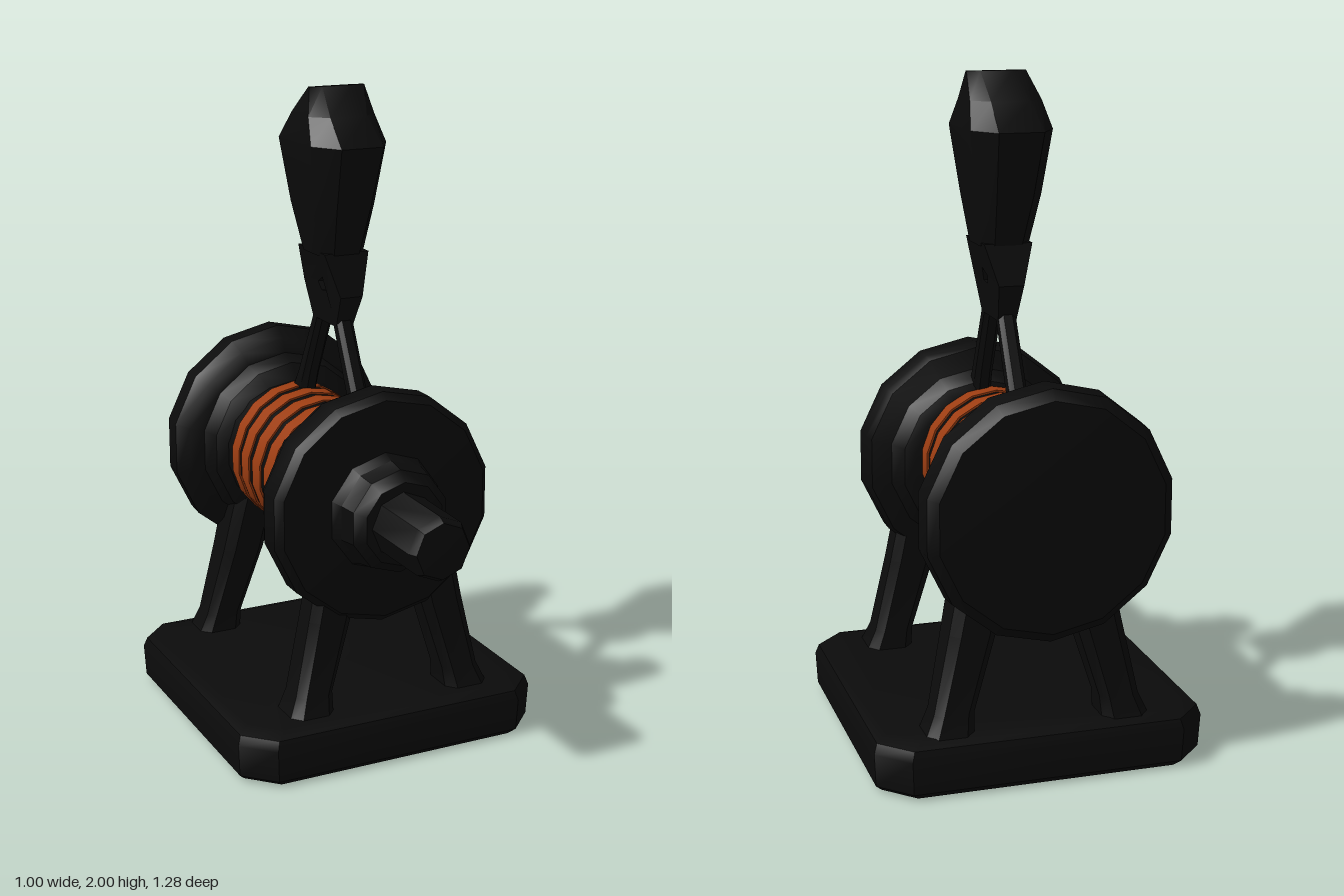
import * as THREE from 'three';
import { toCreasedNormals } from 'three/addons/utils/BufferGeometryUtils.js';

const iron = new THREE.MeshStandardMaterial({ color: 0x0b0b0b });
iron.name = 'blackIron';
const rope = new THREE.MeshStandardMaterial({ color: 0x9c3d12 });
rope.name = 'rustRope';

function add(parent, name, geometry, material = iron) {
  const mesh = new THREE.Mesh(toCreasedNormals(geometry, 0.6), material);
  mesh.name = name;
  parent.add(mesh);
  return mesh;
}

// Profile of [radius, z] pairs, rising in z, spun about the z axis
function turned(profile, sides) {
  const points = profile.map(([r, z]) => new THREE.Vector2(r, z));
  return new THREE.LatheGeometry(points, sides).rotateX(Math.PI / 2);
}

// Solid through chamfered rectangles [y, x, z, halfX, halfZ], listed upward
function loft(sections, c = 0.5) {
  const outline = [[1, -c], [1, c], [c, 1], [-c, 1], [-1, c], [-1, -c], [-c, -1], [c, -1]];
  const n = outline.length, pos = [], index = [];
  for (const [y, x, z, hx, hz] of sections)
    for (const [u, v] of outline) pos.push(x + u * hx, y, z + v * hz);
  for (let s = 0; s < sections.length - 1; s++) {
    for (let i = 0; i < n; i++) {
      const a = s * n + i, b = s * n + (i + 1) % n;
      index.push(a, a + n, b, b, a + n, b + n);
    }
  }
  const top = (sections.length - 1) * n;
  for (let i = 1; i < n - 1; i++) {
    index.push(0, i, i + 1);
    index.push(top, top + i + 1, top + i);
  }
  const g = new THREE.BufferGeometry();
  g.setAttribute('position', new THREE.Float32BufferAttribute(pos, 3));
  g.setIndex(index);
  return g;
}

export function createModel() {
  const model = new THREE.Group();
  model.name = 'winch';

  // Base slab with cut corners and softened edges
  add(model, 'base', loft([
    [0, 0, -0.135, 0.475, 0.475],
    [0.02, 0, -0.135, 0.495, 0.495],
    [0.12, 0, -0.135, 0.5, 0.5],
    [0.15, 0, -0.135, 0.49, 0.49],
    [0.163, 0, -0.135, 0.45, 0.45],
  ], 0.82));

  // Splayed legs, a pair under each flange
  for (const side of [-1, 1]) {
    const x = (v) => 0.015 + side * v;
    const name = side > 0 ? 'left' : 'right';
    add(model, name + 'FrontLeg', loft([
      [0.14, x(0.27), 0.21, 0.075, 0.085],
      [0.22, x(0.25), 0.2, 0.06, 0.065],
      [0.45, x(0.19), 0.19, 0.07, 0.06],
      [0.65, x(0.15), 0.185, 0.07, 0.06],
    ], 0.6));
    add(model, name + 'BackLeg', loft([
      [0.14, x(0.27), -0.525, 0.075, 0.075],
      [0.22, x(0.25), -0.515, 0.06, 0.06],
      [0.45, x(0.19), -0.49, 0.07, 0.075],
      [0.65, x(0.15), -0.475, 0.07, 0.085],
    ], 0.6));
  }

  // Drum core with wound bands, the rear ones slanting
  const drum = new THREE.Group();
  drum.name = 'drum';
  drum.position.set(-0.025, 0.8, 0);
  model.add(drum);
  add(drum, 'drumCore', turned([[0.219, -0.45], [0.219, 0.1]], 18));
  const bands = [
    [-0.01, 0.045, 0], [-0.1, -0.043, 0], [-0.19, -0.13, 0],
    [-0.282, -0.225, -0.03], [-0.368, -0.315, -0.08],
  ];
  for (const [back, front, slant] of bands) {
    const g = turned([[0.21, back], [0.225, back], [0.225, front], [0.21, front]], 18);
    const p = g.attributes.position;
    for (let i = 0; i < p.count; i++) p.setZ(i, p.getZ(i) + slant * p.getX(i));
    add(drum, 'ropeBand', g, rope);
  }

  // End flanges with their stepped collars
  add(model, 'frontFlange', turned([
    [0, 0.04], [0.225, 0.045], [0.26, 0.06], [0.29, 0.11], [0.35, 0.13],
    [0.362, 0.16], [0.362, 0.235], [0.34, 0.258], [0, 0.27],
  ], 14)).position.set(-0.005, 0.782, 0);
  add(model, 'backFlange', turned([
    [0, -0.642], [0.34, -0.63], [0.37, -0.605], [0.375, -0.53], [0.34, -0.49],
    [0.295, -0.475], [0.275, -0.42], [0.225, -0.385], [0, -0.38],
  ], 14)).position.set(-0.005, 0.798, 0);

  // Hub and projecting axle
  add(model, 'hub', turned([
    [0.19, 0.25], [0.17, 0.3], [0.16, 0.36], [0.13, 0.39], [0, 0.395],
  ], 10)).position.set(-0.01, 0.78, 0);
  add(model, 'axle', turned([
    [0.11, 0.35], [0.1, 0.4], [0.098, 0.61], [0.085, 0.635], [0, 0.642],
  ], 8)).position.set(-0.015, 0.78, 0);

  // Two straps rising from the drum to the eye
  add(model, 'frontStrap', loft([
    [1.0, 0, 0.09, 0.028, 0.045],
    [1.08, 0, 0.055, 0.027, 0.035],
    [1.3, 0, -0.05, 0.027, 0.027],
  ]));
  add(model, 'backStrap', loft([
    [0.98, 0, -0.35, 0.028, 0.055],
    [1.08, 0, -0.295, 0.027, 0.036],
    [1.3, 0, -0.18, 0.027, 0.027],
  ]));

  // Eye plate with a small hole, thickening upward
  const v = (z, y) => new THREE.Vector2(z, y);
  const plate = new THREE.Shape([
    v(-0.035, 1.28), v(-0.2, 1.28), v(-0.243, 1.39), v(-0.21, 1.51), v(-0.02, 1.51), v(0.015, 1.38),
  ]);
  plate.holes.push(new THREE.Path([v(-0.085, 1.385), v(-0.095, 1.425), v(-0.135, 1.405), v(-0.12, 1.38)]));
  const eye = new THREE.ExtrudeGeometry(plate, { depth: 2, bevelEnabled: false });
  eye.translate(0, 0, -1).rotateY(-Math.PI / 2);
  const p = eye.attributes.position;
  for (let i = 0; i < p.count; i++) {
    const t = (p.getY(i) - 1.28) / 0.23;
    p.setX(i, p.getX(i) * (0.028 + 0.045 * t * t));
  }
  eye.computeVertexNormals();
  add(model, 'eyePlate', eye);

  // Faceted handle head, closing to a ridge across x
  add(model, 'handleHead', loft([
    [1.5, 0, -0.115, 0.075, 0.095],
    [1.65, -0.005, -0.11, 0.1, 0.15],
    [1.84, -0.005, -0.11, 0.123, 0.21],
    [1.92, -0.005, -0.105, 0.108, 0.11],
    [2.0, 0.005, -0.1, 0.09, 0.008],
  ], 0.55));

  return model;
}
